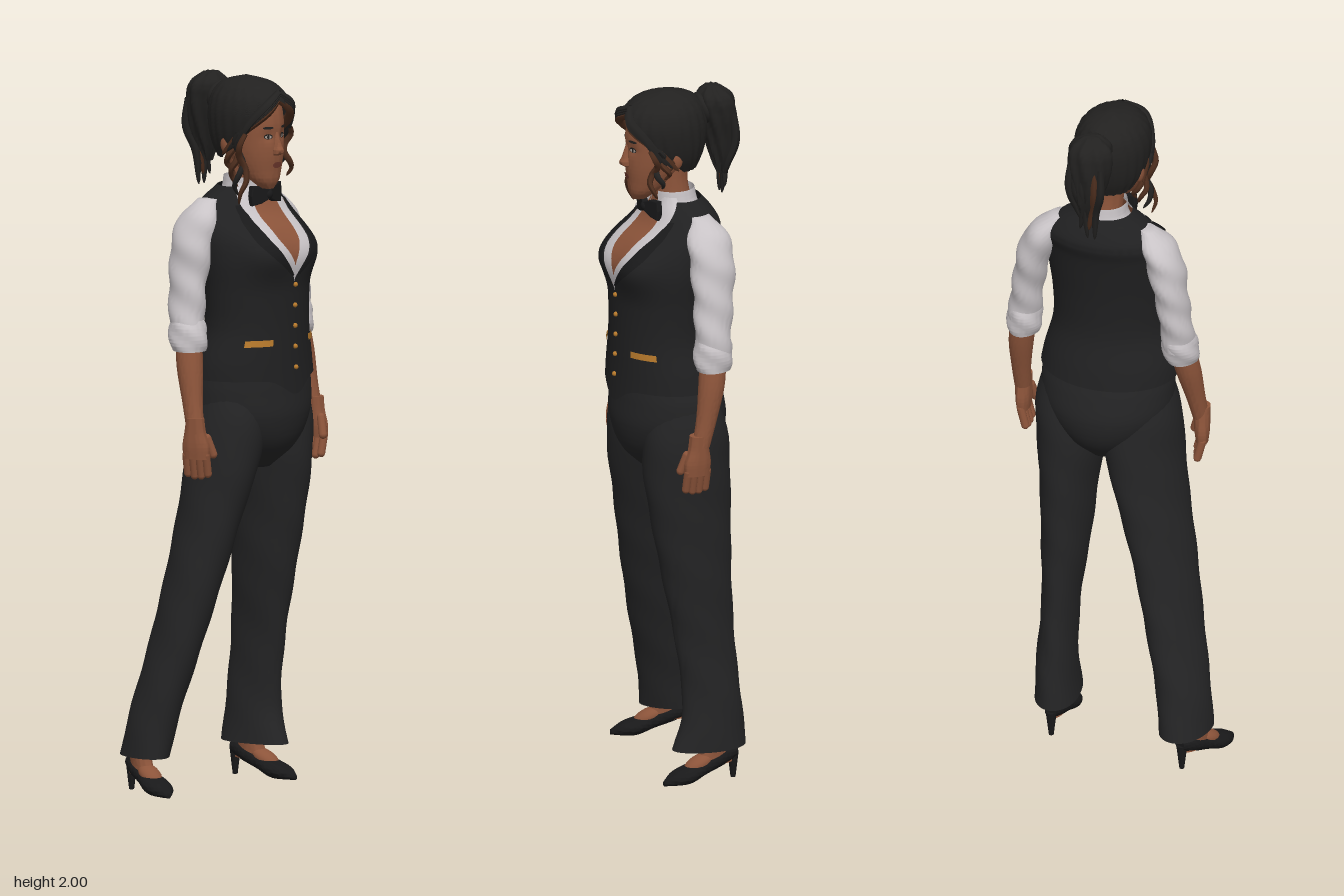
import * as THREE from 'three';
import { toCreasedNormals } from 'three/addons/utils/BufferGeometryUtils.js';

const { sin, cos, PI, exp, abs, sqrt } = Math;

const paint = (name, color) => {
  const m = new THREE.MeshStandardMaterial({ color, side: THREE.DoubleSide });
  m.name = name;
  return m;
};

// interpolates rows of [y, ...values]
function interp(rows, Kind = THREE.CubicInterpolant) {
  const n = rows[0].length - 1;
  const f = new Kind(rows.map(r => r[0]), rows.flatMap(r => r.slice(1)), n, new Array(n));
  return y => f.evaluate(y);
}
const edge = rows => { const f = interp(rows, THREE.LinearInterpolant); return y => f(y)[0]; };

// stacked ellipses [y, cx, cz, halfWidth, halfDepth]; angle 0 is the front
function surface(rows, yaw = 0, bump = () => 0) {
  const at = interp(rows), c = cos(yaw), s = sin(yaw);
  return (t, y, off = 0) => {
    const [cx, cz, a, b] = at(y), k = off + bump(t, y);
    const x = (a + k) * sin(t), z = (b + k) * cos(t);
    return [cx + x * c + z * s, y, cz - x * s + z * c];
  };
}

// skin over part of a surface, between two angles and two heights
function patch(surf, y0, y1, o = {}) {
  const { t0 = () => -PI, t1 = () => PI, off = 0, cols = 40, rows = 36, caps = false, drop = () => 0 } = o;
  const pos = [], idx = [], lo = caps ? -1 : 0, hi = caps ? rows + 1 : rows;
  for (let i = lo; i <= hi; i++) {
    const v = Math.min(1, Math.max(0, i / rows)), yr = y0 + (y1 - y0) * v;
    for (let j = 0; j <= cols; j++) {
      const t = t0(yr) + (t1(yr) - t0(yr)) * j / cols;
      if (i < 0 || i > rows) {
        const p = surf(0, yr), q = surf(PI, yr);
        pos.push((p[0] + q[0]) / 2, yr, (p[2] + q[2]) / 2);
      } else pos.push(...surf(t, yr - drop(t) * (1 - v) ** 4, off));
    }
  }
  const w = cols + 1;
  for (let i = 0; i < hi - lo; i++) for (let j = 0; j < cols; j++) {
    const a = i * w + j;
    idx.push(a, a + 1, a + w + 1, a, a + w + 1, a + w);
  }
  const g = new THREE.BufferGeometry();
  g.setAttribute('position', new THREE.Float32BufferAttribute(pos, 3));
  g.setIndex(idx);
  return toCreasedNormals(g, 1.0);
}

// tapered lock of hair
function lock(points, r) {
  const curve = new THREE.CatmullRomCurve3(points.map(p => new THREE.Vector3(...p)));
  const g = new THREE.TubeGeometry(curve, 24, r, 6), p = g.attributes.position, v = new THREE.Vector3();
  for (let i = 0; i < p.count; i++) {
    const u = Math.floor(i / 7) / 24, c = curve.getPointAt(u);
    v.fromBufferAttribute(p, i).sub(c).multiplyScalar(0.1 + 0.9 * sqrt(Math.max(0, sin(PI * (0.15 + 0.85 * u))))).add(c);
    p.setXYZ(i, v.x, v.y, v.z);
  }
  g.computeVertexNormals();
  return g;
}

export function createModel() {
  const M = {
    trouser: paint('trouserBlack', 0x242425), vest: paint('vestBlack', 0x202021),
    satin: paint('satinBlack', 0x19191a), shirt: paint('shirtWhite', 0xc8c3c6),
    skin: paint('skin', 0x8c543a), hair: paint('hairBlack', 0x222120),
    brown: paint('hairBrown', 0x4c2d1d), gold: paint('gold', 0xb87a2c),
    lips: paint('lips', 0x6d372c), eye: paint('eyeWhite', 0xa89a90),
  };
  const root = new THREE.Group();
  const add = (name, geo, mat, parent = root) => {
    const m = new THREE.Mesh(geo, mat);
    m.name = name;
    parent.add(m);
    return m;
  };
  const group = (name, x, y, z, yaw) => {
    const g = new THREE.Group();
    g.name = name; g.position.set(x, y, z); g.rotation.y = yaw;
    root.add(g);
    return g;
  };
  const full = (rows, yaw, bump, o) => patch(surface(rows, yaw, bump), rows[0][0], rows.at(-1)[0], { caps: true, ...o });

  // trousers
  const folds = (t, y) => 0.0025 * sin(3 * t + 22 * y) * sin(17 * y);
  add('trouserSeat', full([[0.9, 0.05, 0.015, 0.05, 0.07], [0.96, 0.052, 0.018, 0.125, 0.13], [1.04, 0.053, 0.02, 0.18, 0.157],
    [1.12, 0.055, 0.025, 0.19, 0.152], [1.2, 0.055, 0.035, 0.178, 0.138]], 0.44), M.trouser);
  add('rightTrouserLeg', full([[0.1, -0.262, 0.005, 0.063, 0.09], [0.2, -0.243, 0.015, 0.066, 0.086], [0.4, -0.188, 0.035, 0.068, 0.095],
    [0.6, -0.135, 0.05, 0.075, 0.105], [0.8, -0.082, 0.055, 0.085, 0.12], [0.93, -0.05, 0.06, 0.098, 0.128], [1.04, -0.035, 0.062, 0.103, 0.122],
    [1.15, -0.02, 0.062, 0.088, 0.095]], 0, folds), M.trouser);
  add('leftTrouserLeg', full([[0.1, 0.128, -0.097, 0.061, 0.11], [0.2, 0.128, -0.105, 0.056, 0.09], [0.4, 0.133, -0.085, 0.051, 0.088],
    [0.6, 0.138, -0.06, 0.067, 0.102], [0.8, 0.143, -0.04, 0.081, 0.12], [0.93, 0.143, -0.03, 0.096, 0.127], [1.04, 0.145, -0.027, 0.1, 0.12],
    [1.15, 0.14, -0.015, 0.085, 0.095]], 0.44, folds), M.trouser);

  // feet in heeled shoes
  const shoe = full([[-0.1, 0, -0.078, 0.016, 0.018], [-0.06, 0, -0.068, 0.029, 0.026], [0, 0, -0.045, 0.033, 0.024],
    [0.05, 0, -0.027, 0.041, 0.025], [0.09, 0, -0.019, 0.032, 0.018], [0.122, 0, -0.009, 0.007, 0.007]]);
  for (const [side, x, z, yaw] of [['right', -0.28, 0.055, 0.05], ['left', 0.138, -0.079, 0.45]]) {
    const f = group(side + 'Foot', x, 0, z, yaw);
    add(side + 'Shoe', shoe, M.satin, f).rotation.x = PI / 2;
    add(side + 'Heel', new THREE.CylinderGeometry(0.016, 0.007, 0.075, 12), M.satin, f).position.set(0, 0.0375, -0.092);
    add(side + 'Ankle', full([[0.05, 0, -0.03, 0.026, 0.06], [0.08, 0, -0.035, 0.026, 0.045], [0.14, 0, -0.045, 0.03, 0.032]]), M.skin, f);
    const i = add(side + 'Instep', new THREE.SphereGeometry(1, 20, 14), M.skin, f);
    i.position.set(0, 0.054, 0.015); i.scale.set(0.03, 0.022, 0.05); i.rotation.x = 0.45;
  }

  // torso
  const wrap = t => Math.atan2(sin(t), cos(t));
  const bust = (t, y) => 0.028 * exp(-(((y - 1.52) / 0.065) ** 2)) * (exp(-(((t - 0.5) / 0.42) ** 2)) + exp(-(((t + 0.5) / 0.42) ** 2)));
  const torso = surface([[1.1, 0.055, 0.025, 0.194, 0.155], [1.2, 0.055, 0.035, 0.183, 0.14], [1.3, 0.062, 0.046, 0.159, 0.124],
    [1.4, 0.062, 0.046, 0.161, 0.123], [1.5, 0.06, 0.04, 0.172, 0.127], [1.57, 0.05, 0.02, 0.172, 0.115], [1.62, 0.042, -0.008, 0.16, 0.098],
    [1.66, 0.043, -0.01, 0.12, 0.077], [1.69, 0.046, -0.003, 0.072, 0.06], [1.72, 0.047, 0.004, 0.054, 0.054]], 0.44,
    (t, y) => bust(wrap(t), y));
  const vestEdge = edge([[1.44, 0], [1.5, 0.25], [1.55, 0.4], [1.62, 0.54], [1.66, 0.78], [1.69, 1.1]]);
  const skinEdge = edge([[1.48, 0], [1.55, 0.22], [1.62, 0.31], [1.69, 0.42]]);
  add('chest', patch(torso, 1.42, 1.7, { t0: () => -1, t1: () => 1 }), M.skin);
  add('vest', patch(torso, 1.16, 1.69, { t0: vestEdge, t1: y => 2 * PI - vestEdge(y), off: 0.008, cols: 90, rows: 60,
    drop: t => 0.045 * exp(-((wrap(t) / 0.3) ** 2)) }), M.vest);
  for (const s of [-1, 1]) {
    const side = s < 0 ? 'right' : 'left';
    const strip = (name, mat, y0, y1, a, b, off) => add(side + name, patch(torso, y0, y1,
      { t0: y => (s > 0 ? a(y) : -b(y)), t1: y => (s > 0 ? b(y) : -a(y)), off, cols: 10, rows: 24 }), mat);
    strip('ShirtFront', M.shirt, 1.43, 1.7, skinEdge, y => vestEdge(y) + 0.06, 0.005);
    strip('Lapel', M.satin, 1.45, 1.645, vestEdge, y => vestEdge(y) + 0.24 * sin(PI * Math.min(1, (y - 1.43) / 0.26)), 0.012);
    strip('Pocket', M.gold, 1.256, 1.274, () => 0.45, () => 0.97, 0.012);
  }
  for (let i = 0; i < 5; i++)
    add('button', new THREE.SphereGeometry(0.007, 10, 8), M.gold).position.set(...torso(0.03, 1.19 + i * 0.058, 0.01));

  // neck, collar and bow tie
  add('neck', full([[1.6, 0.045, -0.01, 0.055, 0.05], [1.66, 0.047, 0, 0.048, 0.05], [1.75, 0.048, 0.015, 0.046, 0.051], [1.83, 0.045, 0.01, 0.05, 0.06]], 0.4), M.skin);
  const collar = surface([[1.64, 0.046, -0.002, 0.085, 0.073], [1.68, 0.047, 0.002, 0.062, 0.06], [1.715, 0.047, 0.006, 0.056, 0.057]], 0.44);
  const gap = edge([[1.64, 0.6], [1.68, 0.28], [1.715, 0.4]]);
  add('collar', patch(collar, 1.64, 1.715, { t0: gap, t1: y => 2 * PI - gap(y), off: 0.004 }), M.shirt);
  const bow = group('bowTie', 0.08, 1.668, 0.082, 0.44);
  const wing = new THREE.Shape([[0, 0.01], [0.03, 0.022], [0.06, 0.025], [0.064, 0], [0.06, -0.025], [0.03, -0.021], [0, -0.01]].map(p => new THREE.Vector2(...p)));
  const wingGeo = new THREE.ExtrudeGeometry(wing, { depth: 0.012, bevelSize: 0.003, bevelThickness: 0.003, bevelSegments: 2 });
  for (const s of [0, 1]) {
    const w = add('bowWing', wingGeo, M.satin, bow);
    w.rotation.y = s * PI + (s ? -0.2 : 0.2);
    w.position.z = s ? 0.006 : -0.006;
  }
  add('bowKnot', new THREE.SphereGeometry(0.015, 14, 10), M.satin, bow).scale.z = 0.9;

  // arms: rolled sleeve, forearm, hand
  const arm = (side, s, yaw, sleeve, cuff, fore, wrist, handYaw) => {
    add(side + 'Sleeve', full(sleeve, yaw, (t, y) => 0.003 * sin(2 * t + 60 * y)), M.shirt);
    add(side + 'Cuff', full(cuff, yaw, (t, y) => 0.002 * sin(3 * t + 90 * y)), M.shirt);
    add(side + 'Forearm', full(fore, yaw), M.skin);
    const h = group(side + 'Hand', ...wrist, handYaw);
    add('palm', full([[-0.095, 0, 0.004, 0.018, 0.038], [-0.06, 0, 0.003, 0.022, 0.04], [-0.02, 0, 0, 0.023, 0.031], [0.02, 0, 0, 0.024, 0.025]]), M.skin, h);
    for (let i = 0; i < 4; i++) {
      const f = add('finger', new THREE.CapsuleGeometry(0.0115, 0.055, 4, 10), M.skin, h);
      f.position.set(-s * 0.006, -0.112 - 0.006 * sin(i * 1.1), -0.026 + i * 0.0195);
      f.rotation.z = -s * 0.25;
    }
    const t = add('thumb', new THREE.CapsuleGeometry(0.012, 0.05, 4, 10), M.skin, h);
    t.position.set(-s * 0.016, -0.06, 0.038); t.rotation.set(-0.3, 0, -s * 0.2);
  };
  arm('right', -1, 0.44,
    [[1.29, -0.168, 0.077, 0.045, 0.05], [1.36, -0.165, 0.068, 0.045, 0.053], [1.45, -0.156, 0.059, 0.045, 0.058], [1.55, -0.138, 0.053, 0.051, 0.064], [1.62, -0.113, 0.045, 0.045, 0.056], [1.66, -0.085, 0.036, 0.02, 0.03]],
    [[1.245, -0.168, 0.088, 0.044, 0.048], [1.265, -0.168, 0.085, 0.05, 0.054], [1.31, -0.167, 0.077, 0.05, 0.054], [1.33, -0.167, 0.074, 0.043, 0.048]],
    [[1.03, -0.179, 0.151, 0.023, 0.026], [1.1, -0.178, 0.132, 0.027, 0.029], [1.2, -0.174, 0.106, 0.036, 0.037], [1.28, -0.168, 0.087, 0.037, 0.038]],
    [-0.181, 1.045, 0.154], 0.75);
  arm('left', 1, 0.44,
    [[1.29, 0.255, -0.105, 0.046, 0.05], [1.36, 0.247, -0.105, 0.045, 0.053], [1.45, 0.231, -0.106, 0.045, 0.058], [1.55, 0.206, -0.102, 0.05, 0.065], [1.62, 0.178, -0.088, 0.045, 0.057], [1.66, 0.15, -0.072, 0.02, 0.03]],
    [[1.245, 0.257, -0.105, 0.043, 0.048], [1.265, 0.255, -0.105, 0.048, 0.054], [1.31, 0.252, -0.105, 0.048, 0.054], [1.33, 0.25, -0.105, 0.043, 0.048]],
    [[1.03, 0.295, -0.07, 0.023, 0.026], [1.1, 0.286, -0.085, 0.027, 0.029], [1.2, 0.272, -0.1, 0.035, 0.037], [1.28, 0.257, -0.105, 0.036, 0.038]],
    [0.297, 1.045, -0.064], 0.45);

  // head and face
  const head = group('head', 0.045, 0, 0.03, 0.35);
  const face = surface([[1.688, 0, 0.072, 0.016, 0.02], [1.71, 0, 0.062, 0.04, 0.04], [1.74, 0, 0.046, 0.056, 0.06], [1.78, 0, 0.03, 0.069, 0.081],
    [1.83, 0, 0.018, 0.077, 0.093], [1.88, 0, 0.01, 0.08, 0.1], [1.93, 0, 0, 0.076, 0.095], [1.97, 0, -0.005, 0.05, 0.065]], 0,
    (t, y) => -0.006 * exp(-(((y - 1.838) / 0.014) ** 2)) * exp(-(((abs(t) - 0.36) / 0.2) ** 2)));
  add('face', patch(face, 1.688, 1.97, { caps: true, cols: 64, rows: 50 }), M.skin, head);
  const lens = (name, mat, t, y, w, h, off) => {
    const half = yy => w * sqrt(Math.max(0, 1 - ((yy - y) / h) ** 2));
    add(name, patch(face, y - h, y + h, { t0: v => t - half(v), t1: v => t + half(v), off, cols: 10, rows: 10 }), mat, head);
  };
  for (const s of [-1, 1]) {
    lens('eyeLash', M.hair, s * 0.37, 1.838, 0.17, 0.0075, 0.002);
    lens('eye', M.eye, s * 0.37, 1.837, 0.13, 0.005, 0.003);
    lens('iris', M.hair, s * 0.37, 1.837, 0.05, 0.005, 0.004);
    lens('eyebrow', M.hair, s * 0.38, 1.863, 0.19, 0.004, 0.002);
    const e = add('ear', new THREE.SphereGeometry(1, 14, 10), M.skin, head);
    e.position.set(s * 0.083, 1.815, -0.005); e.scale.set(0.014, 0.03, 0.02);
  }
  lens('lips', M.lips, 0, 1.757, 0.25, 0.009, 0.004);
  add('nose', full([[1.785, 0, 0.111, 0.013, 0.008], [1.793, 0, 0.113, 0.016, 0.018], [1.815, 0, 0.11, 0.01, 0.014], [1.85, 0, 0.103, 0.007, 0.009]]), M.skin, head);

  // hair cap with an open face and bare nape
  const groove = (t, y) => 0.002 * sin(22 * t + 15 * y) * Math.min(1, (2 - y) * 20);
  const cap = surface([[1.77, 0, -0.022, 0.068, 0.068], [1.81, 0, -0.008, 0.09, 0.1], [1.87, 0, 0.002, 0.103, 0.122],
    [1.92, 0, 0.004, 0.101, 0.122], [1.96, 0, 0, 0.083, 0.102], [1.985, 0, -0.004, 0.052, 0.066], [2, 0, -0.008, 0, 0]], 0, groove);
  const hairline = edge([[1.77, 1.75], [1.8, 1.4], [1.85, 1], [1.9, 0.6], [1.94, 0]]);
  add('hairCap', patch(cap, 1.77, 2, { t0: hairline, t1: y => 2 * PI - hairline(y), cols: 90, rows: 44 }), M.hair, head);
  add('ponytail', full([[1.74, 0.01, -0.168, 0.012, 0.012], [1.79, 0.005, -0.168, 0.033, 0.03], [1.85, 0, -0.165, 0.05, 0.042], [1.92, 0, -0.158, 0.062, 0.051],
    [1.97, 0, -0.148, 0.054, 0.046], [1.995, 0, -0.143, 0.02, 0.018]], 0, (t, y) => 0.004 * sin(8 * t + 30 * y)), M.hair, head);
  const tie = add('hairTie', new THREE.TorusGeometry(0.036, 0.011, 10, 24), M.hair, head);
  tie.position.set(0, 1.93, -0.112); tie.rotation.x = 0.3;

  // swept fringe and loose curls
  for (const s of [-1, 1]) {
    for (let i = 0; i < 4; i++)
      add('fringeLock', lock([[0.012, 1.958 - i * 0.006, 0.104], [s * 0.045, 1.93 - i * 0.007, 0.116], [s * 0.081, 1.878 - i * 0.008, 0.082 - i * 0.008],
        [s * 0.096, 1.815 - i * 0.01, 0.045 - i * 0.018]], 0.013), i === 3 ? M.brown : M.hair, head);
    const len = s < 0 ? 0.2 : 0.14;
    for (let i = 0; i < 4; i++) {
      const pts = [];
      for (let k = 0; k <= 6; k++)
        pts.push([s * (0.09 - i * 0.005 + 0.013 * sin(k * 1.5 + i)), 1.85 - (len - i * 0.022) * k / 6, 0.064 - i * 0.02 + 0.011 * cos(k * 1.5 + i)]);
      add('looseCurl', lock(pts, 0.0095), i === 1 ? M.hair : M.brown, head);
    }
  }
  for (let i = 0; i < 6; i++) {
    const x = -0.045 + i * 0.018;
    add('ponytailLock', lock([[x, 1.92, -0.19], [x * 1.05, 1.84, -0.195], [x * 0.6 + 0.005 * sin(i * 3), 1.77, -0.178],
      [x * 0.45 + 0.012 * sin(i * 2), 1.675 + 0.025 * (i % 3), -0.172]], 0.0125), i === 1 ? M.brown : M.hair, head);
  }
  return root;
}
